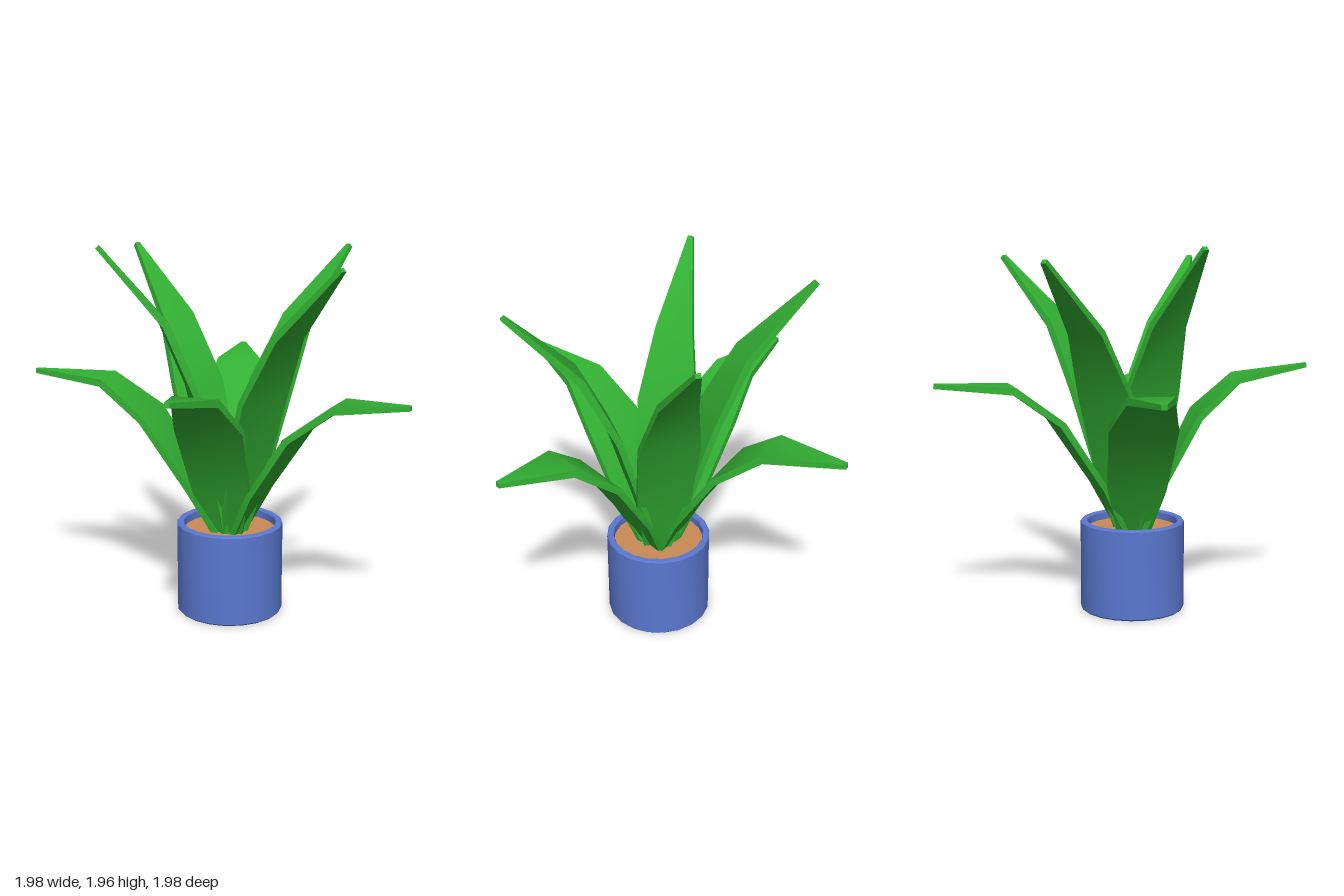
import * as THREE from 'three';
import { toCreasedNormals } from 'three/addons/utils/BufferGeometryUtils.js';

const CENTER = 0.07; // the pot sits slightly off the origin in x and z
const PIVOT_Y = 0.45; // soil level where the leaves sprout

const material = (color) => new THREE.MeshStandardMaterial({ color });

// Leaf sections: [distance outward, height above soil, half width, thickness]
const ARCHED = [
  [0.05, -0.03, 0.085, 0.03],
  [0.19, 0.24, 0.155, 0.03],
  [0.43, 0.6, 0.18, 0.035],
  [0.67, 0.775, 0.12, 0.04],
  [1.07, 0.8, 0.014, 0.025],
];
const UPRIGHT = [
  [0.03, -0.03, 0.085, 0.03],
  [0.1, 0.32, 0.145, 0.03],
  [0.2, 0.76, 0.16, 0.035],
  [0.35, 1.12, 0.1, 0.04],
  [0.68, 1.51, 0.014, 0.025],
];

// Bends a segmented box along the profile, turned and scaled to reach the tip
function createLeaf(name, profile, [x, y, z], mat) {
  const n = profile.length - 1;
  const dx = x - CENTER;
  const dz = z - CENTER;
  const target = new THREE.Vector2(Math.hypot(dx, dz), y - PIVOT_Y);
  const end = new THREE.Vector2(profile[n][0], profile[n][1]);
  const tilt = target.angle() - end.angle();
  const scale = target.length() / end.length();
  const path = profile.map(([r, h]) =>
    new THREE.Vector2(r, h).rotateAround(new THREE.Vector2(), tilt).multiplyScalar(scale));

  const geometry = new THREE.BoxGeometry(1, 1, 1, 1, 1, n);
  const pos = geometry.attributes.position;
  for (let v = 0; v < pos.count; v++) {
    const i = Math.round((pos.getZ(v) + 0.5) * n);
    const [, , halfWidth, thickness] = profile[i];
    const tangent = path[Math.min(i + 1, n)].clone().sub(path[Math.max(i - 1, 0)]).normalize();
    const offset = pos.getY(v) * thickness;
    pos.setXYZ(
      v,
      pos.getX(v) * 2 * halfWidth,
      path[i].y + tangent.x * offset,
      path[i].x - tangent.y * offset,
    );
  }
  const leaf = new THREE.Mesh(toCreasedNormals(geometry, 0.7), mat);
  leaf.name = name;
  leaf.position.set(CENTER, PIVOT_Y, CENTER);
  leaf.rotation.y = Math.atan2(dx, dz);
  return leaf;
}

export function createModel() {
  const model = new THREE.Group();
  model.name = 'pottedPlant';

  // Hollow pot with a small bevel on its rim and foot
  const potProfile = [
    [0, 0], [0.275, 0], [0.282, 0.008], [0.282, 0.483], [0.275, 0.49],
    [0.25, 0.49], [0.245, 0.483], [0.245, 0.42],
  ].map(([r, y]) => new THREE.Vector2(r, y));
  const pot = new THREE.Mesh(
    toCreasedNormals(new THREE.LatheGeometry(potProfile, 20), 0.6),
    material(0x5b78d0),
  );
  pot.name = 'pot';
  pot.position.set(CENTER, 0, CENTER);
  model.add(pot);

  // Soil
  const soil = new THREE.Mesh(new THREE.CylinderGeometry(0.247, 0.247, 0.02, 20), material(0xc98a55));
  soil.name = 'soil';
  soil.position.set(CENTER, 0.435, CENTER);
  model.add(soil);

  // Four low arching leaves around four taller upright ones, given by their tips
  const green = material(0x33b033);
  const arched = [[0.07, 1.255, -0.99], [-0.99, 1.255, -0.1], [-0.145, 1.33, 0.98], [0.98, 1.205, 0.415]];
  const upright = [[-0.5, 1.895, -0.535], [0.68, 1.9, -0.505], [0.63, 1.895, 0.585], [-0.58, 1.955, 0.24]];
  arched.forEach((tip, i) => model.add(createLeaf(`archedLeaf${i + 1}`, ARCHED, tip, green)));
  upright.forEach((tip, i) => model.add(createLeaf(`uprightLeaf${i + 1}`, UPRIGHT, tip, green)));

  return model;
}
